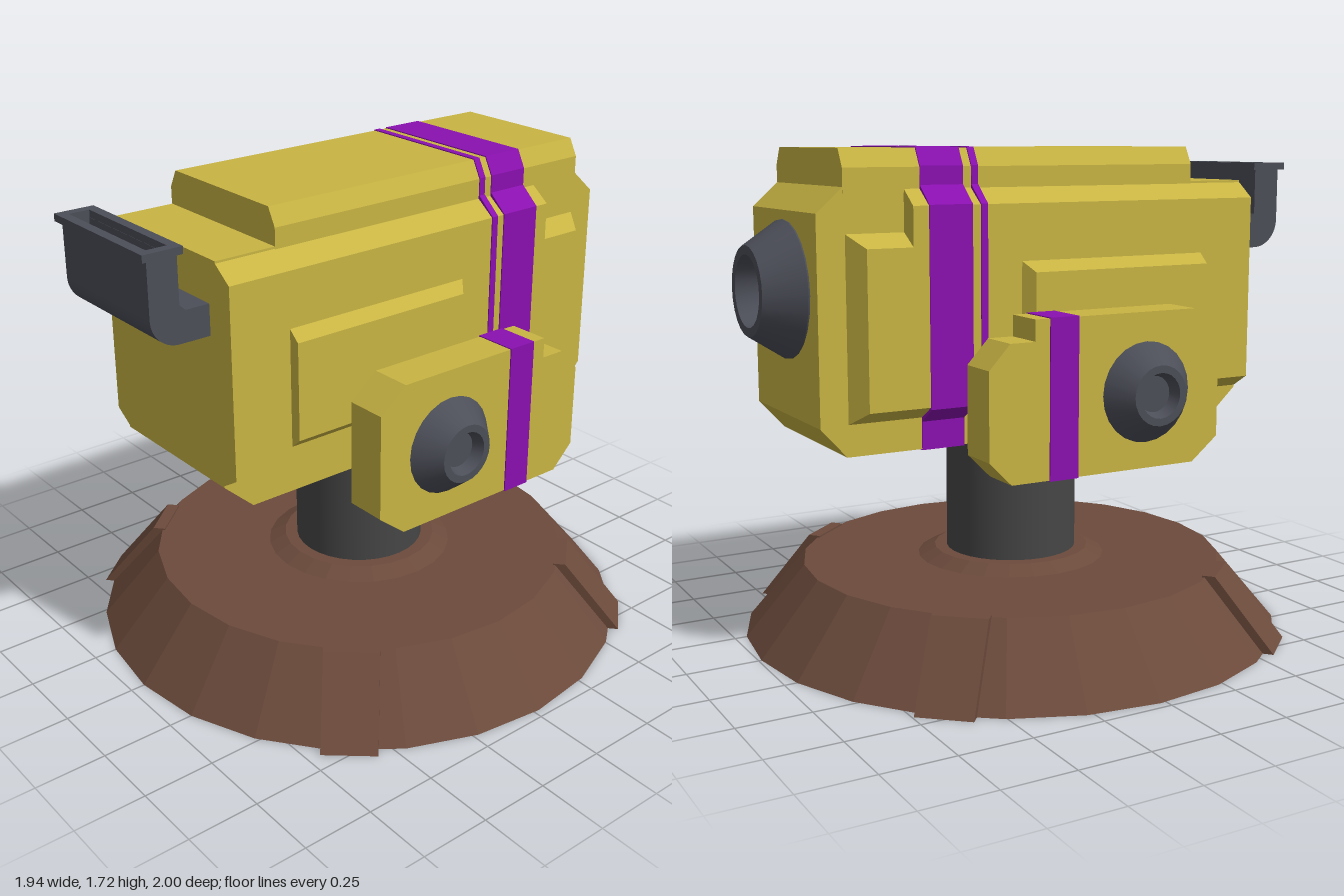
import * as THREE from 'three';
import { toCreasedNormals } from 'three/addons/utils/BufferGeometryUtils.js';

const mat = (color, flatShading = false) => new THREE.MeshStandardMaterial({ color, flatShading });
const yellow = mat(0xc8b443, true);
const purple = mat(0x8a10b0, true);
const steel = mat(0x4c4e58);
const iron = mat(0x464646);
const brown = mat(0x6b4a3b, true);

function add(parent, name, geometry, material) {
  const mesh = new THREE.Mesh(geometry, material);
  mesh.name = name;
  parent.add(mesh);
  return mesh;
}

const toShape = (pts) => new THREE.Shape(pts.map(([a, b]) => new THREE.Vector2(a, b)));
const extrude = (shape, depth) =>
  new THREE.ExtrudeGeometry(shape, { depth, bevelEnabled: false, curveSegments: 8 });

// Side profile of [z, y] points (or a Shape), extruded between x0 and x1
const sideExtrude = (profile, x0, x1) =>
  extrude(Array.isArray(profile) ? toShape(profile) : profile, x1 - x0).rotateY(-Math.PI / 2).translate(x1, 0, 0);

// Cross-section of [x, y] points, extruded between z0 and z1
const crossExtrude = (pts, z0, z1) => extrude(toShape(pts), z1 - z0).translate(0, 0, z0);

// Side plate whose outline goes from `inner` at x0 to `outer` at x1
function taperedPlate(inner, outer, x0, x1) {
  const g = sideExtrude(inner, x0, x1);
  const p = g.attributes.position;
  for (let i = 0; i < p.count; i++) {
    if (p.getX(i) < (x0 + x1) / 2) continue;
    const k = inner.findIndex(([z, y]) => Math.hypot(z - p.getZ(i), y - p.getY(i)) < 1e-4);
    p.setY(i, outer[k][1]);
    p.setZ(i, outer[k][0]);
  }
  g.computeVertexNormals();
  return g;
}

const lathe = (pts, segments = 24) =>
  toCreasedNormals(new THREE.LatheGeometry(pts.map(([r, y]) => new THREE.Vector2(r, y)), segments), 0.5);

const mirrorX = (half) => [...half, ...half.slice().reverse().map(([x, y]) => [-x, y])];

// Rectangular collar with an opening, from y0 to y1
function frame(hw, z0, z1, wall, y0, y1) {
  const rect = (w, a, b) => [[-w, -b], [w, -b], [w, -a], [-w, -a]];
  const s = toShape(rect(hw, z0, z1));
  s.holes.push(toShape(rect(hw - wall, z0 + wall, z1 - wall)));
  return extrude(s, y1 - y0).rotateX(-Math.PI / 2).translate(0, y0, 0);
}

function makeBase() {
  const base = new THREE.Group();
  base.name = 'base';
  base.position.z = -0.02;
  add(base, 'baseDisc', new THREE.CylinderGeometry(0.76, 0.97, 0.25, 24).translate(0, 0.125, 0), brown);
  add(base, 'baseCollar', new THREE.CylinderGeometry(0.28, 0.34, 0.03, 24).translate(0, 0.265, 0), brown);
  // Four clamps lying on the sloped rim
  const clamp = sideExtrude([[0.74, 0], [0.995, 0], [0.785, 0.256], [0.74, 0.256]], -0.095, 0.095);
  for (const a of [49, 131, 229, 311]) {
    add(base, 'rimClamp', clamp, brown).rotation.y = THREE.MathUtils.degToRad(a);
  }
  add(base, 'post', new THREE.CylinderGeometry(0.235, 0.235, 0.52, 32).translate(0, 0.5, 0), iron);
  return base;
}

// Everything repeated on both sides, built on +x
function makeSide(name) {
  const side = new THREE.Group();
  side.name = name;
  add(side, 'sidePlate', taperedPlate(
    [[0.77, 0.84], [0.77, 1.6], [-0.57, 1.6], [-0.57, 1.46], [-0.78, 1.46], [-0.78, 0.84]],
    [[0.77, 0.89], [0.77, 1.54], [-0.57, 1.54], [-0.57, 1.41], [-0.73, 1.41], [-0.73, 0.89]],
    0.28, 0.36), yellow);
  add(side, 'raisedPanel', taperedPlate(
    [[0.55, 0.94], [0.55, 1.355], [-0.18, 1.355], [-0.18, 0.94]],
    [[0.55, 0.98], [0.55, 1.315], [-0.145, 1.315], [-0.145, 0.98]],
    0.355, 0.4), yellow);
  add(side, 'pod', sideExtrude([
    [0.32, 0.675], [0.42, 0.755], [0.42, 1.115], [0.32, 1.195], [-0.29, 1.195],
    [-0.29, 1.125], [-0.38, 1.125], [-0.455, 1.045], [-0.455, 0.755], [-0.375, 0.675],
  ], 0.5, 0.645), yellow);
  add(side, 'podStripe', new THREE.BoxGeometry(0.153, 0.526, 0.105).translate(0.5725, 0.935, -0.185), purple);

  const axis = new THREE.Group();
  axis.name = 'podAxle';
  axis.rotation.z = -Math.PI / 2;
  axis.position.set(0, 0.93, 0.13);
  side.add(axis);
  add(axis, 'arm', new THREE.CylinderGeometry(0.13, 0.13, 0.22, 24).translate(0, 0.41, 0), iron);
  add(axis, 'hub', lathe([[0.172, 0.64], [0.1, 0.73], [0.075, 0.73], [0.06, 0.69], [0, 0.69]]), steel);
  return side;
}

function makeBody() {
  const body = new THREE.Group();
  body.name = 'body';
  add(body, 'core', sideExtrude([
    [0.66, 0.74], [0.77, 0.84], [0.77, 1.6], [-0.78, 1.6], [-0.87, 1.52], [-0.87, 0.84], [-0.78, 0.74],
  ], -0.29, 0.29), yellow);
  add(body, 'hood', crossExtrude(
    mirrorX([[0.292, 1.58], [0.292, 1.66], [0.26, 1.72]]), -0.78, 0.55), yellow);

  // Painted bands wrapping the whole cross-section
  const section = mirrorX([
    [0.29, 0.74], [0.29, 0.835], [0.36, 0.885], [0.36, 1.54], [0.292, 1.6], [0.292, 1.66], [0.26, 1.72],
  ]).map(([x, y]) => [x * 1.01, 1.23 + (y - 1.23) * 1.007]);
  for (const [z0, z1] of [[-0.515, -0.36], [-0.33, -0.305]]) {
    add(body, 'paintBand', crossExtrude(section, z0, z1), purple);
  }

  // Rear nozzle with a recessed bore
  const nozzle = add(body, 'rearNozzle', lathe(
    [[0.23, 0.86], [0.23, 0.875], [0.15, 1.0], [0.12, 1.0], [0.1, 0.9], [0, 0.9]]), steel);
  nozzle.rotation.x = -Math.PI / 2;
  nozzle.position.y = 1.26;
  return body;
}

// Wide flat pipe that leaves the front and bends upward
function makeIntake() {
  const intake = new THREE.Group();
  intake.name = 'frontIntake';
  const s = new THREE.Shape();
  s.moveTo(0.75, 1.35);
  s.lineTo(0.88, 1.35);
  s.absarc(0.88, 1.45, 0.1, -Math.PI / 2, 0, false);
  s.lineTo(0.98, 1.54);
  s.lineTo(0.875, 1.54);
  s.lineTo(0.875, 1.475);
  s.lineTo(0.855, 1.455);
  s.lineTo(0.75, 1.455);
  add(intake, 'intakeElbow', toCreasedNormals(sideExtrude(s, -0.25, 0.25), 0.5), steel);
  add(intake, 'intakeWall', frame(0.25, 0.875, 0.98, 0.02, 1.54, 1.635), steel);
  add(intake, 'intakeRim', frame(0.262, 0.86, 1.0, 0.034, 1.635, 1.66), steel);
  return intake;
}

export function createModel() {
  const model = new THREE.Group();
  model.name = 'turret';
  const right = makeSide('rightSide');
  right.scale.x = -1;
  model.add(makeBase(), makeBody(), makeIntake(), makeSide('leftSide'), right);
  return model;
}
